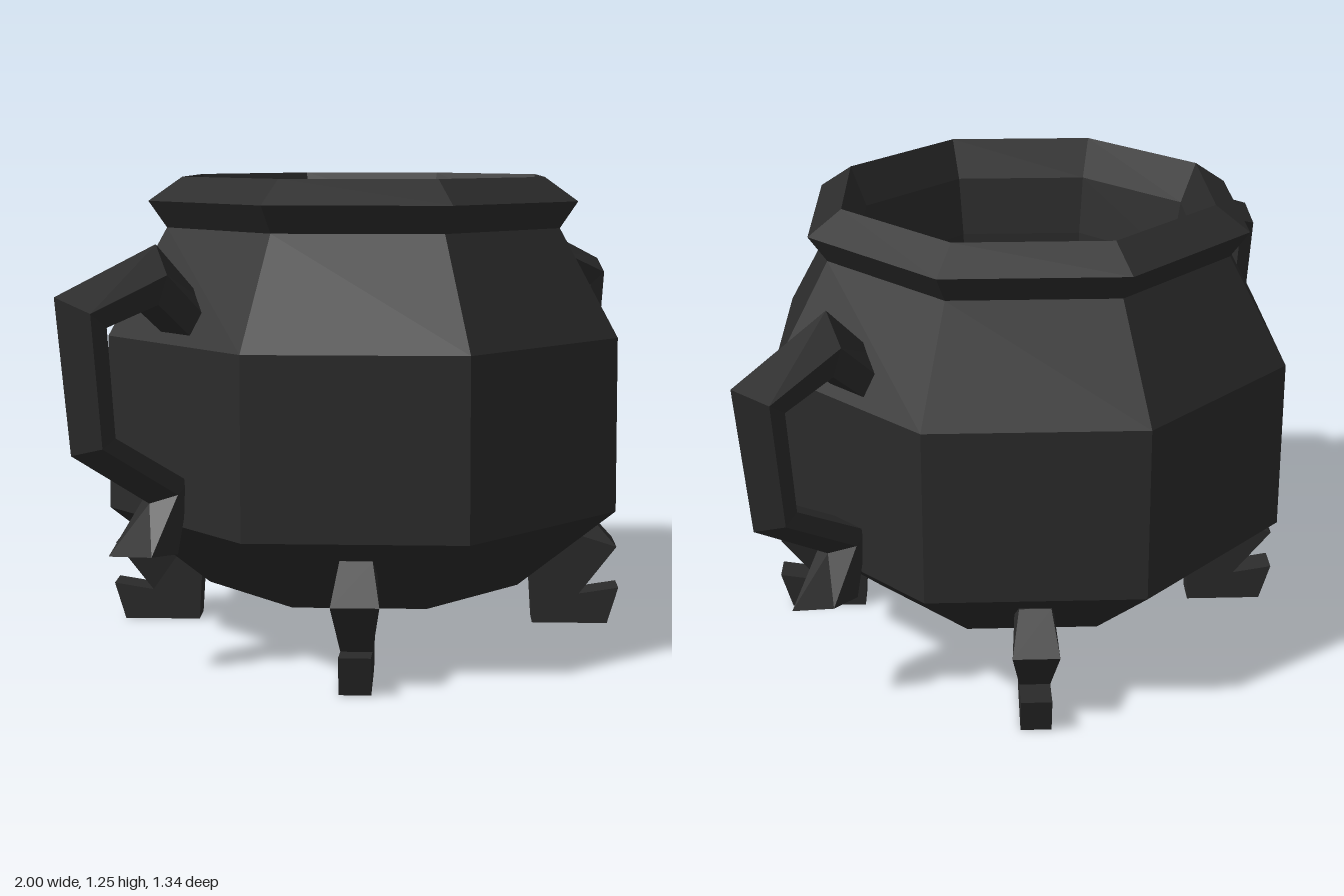
import * as THREE from 'three';

const iron = new THREE.MeshStandardMaterial({ color: 0x2b2b2b, flatShading: true, roughness: 0.9 });

// Eight-sided pot: outside from the base to the rim, then down the inside.
// Profile pairs are [distance to the flat side, height].
function makePot() {
  const profile = [
    [0, 0.145], [0.42, 0.145], [0.67, 0.375], [0.665, 0.835], [0.515, 1.115],
    [0.56, 1.185], [0.475, 1.247], [0.435, 1.14], [0.41, 0.98], [0.37, 0.3], [0, 0.3],
  ];
  const toCorner = 1 / Math.cos(Math.PI / 8);
  const points = profile.map(([d, y]) => new THREE.Vector2(d * toCorner, y));
  return new THREE.LatheGeometry(points, 8, Math.PI / 8);
}

// Handle: five-sided sections with an outer ridge, given as
// [ridge x, ridge y, inner x, inner y, half width].
function makeHandle() {
  const stations = [
    [0.55, 0.93, 0.58, 0.80, 0.07],
    [0.705, 1.088, 0.745, 0.945, 0.073],
    [1.0, 0.975, 0.895, 0.9, 0.072],
    [0.965, 0.59, 0.875, 0.63, 0.068],
    [0.74, 0.44, 0.65, 0.49, 0.06],
    [0.865, 0.325, 0.69, 0.31, 0.058],
  ];
  const position = [];
  const index = [];
  for (const [ox, oy, ix, iy, w] of stations) {
    const sx = ox + (ix - ox) * 0.5, sy = oy + (iy - oy) * 0.5;
    position.push(ox, oy, 0, sx, sy, w, ix, iy, w * 0.85, ix, iy, -w * 0.85, sx, sy, -w);
  }
  for (let i = 0; i < stations.length - 1; i++) {
    for (let j = 0; j < 5; j++) {
      const a = i * 5 + j, b = i * 5 + (j + 1) % 5;
      index.push(a, b, a + 5, b, b + 5, a + 5);
    }
  }
  // Flat cap on the flared lower tip
  const last = (stations.length - 1) * 5;
  for (let j = 1; j < 4; j++) index.push(last, last + j, last + j + 1);
  const geometry = new THREE.BufferGeometry();
  geometry.setAttribute('position', new THREE.Float32BufferAttribute(position, 3));
  geometry.setIndex(index);
  geometry.computeVertexNormals();
  return geometry;
}

// Leg: a knee-and-foot outline, widest at the knee.
function makeLeg() {
  const outline = [
    [0.45, 0.3], [0.47, 0], [0.68, 0], [0.71, 0.103],
    [0.6, 0.085], [0.70, 0.225], [0.615, 0.32],
  ];
  const shape = new THREE.Shape(outline.map(([x, y]) => new THREE.Vector2(x, y)));
  const geometry = new THREE.ExtrudeGeometry(shape, { depth: 2, bevelEnabled: false });
  geometry.translate(0, 0, -1);
  const p = geometry.attributes.position;
  for (let i = 0; i < p.count; i++) {
    const knee = Math.max(0, 1 - Math.abs(p.getY(i) - 0.225) / 0.1);
    p.setZ(i, p.getZ(i) * (0.04 + 0.02 * knee));
  }
  geometry.computeVertexNormals();
  return geometry;
}

export function createModel() {
  const model = new THREE.Group();
  model.name = 'cauldron';
  const add = (name, geometry, turn = 0) => {
    const mesh = new THREE.Mesh(geometry, iron);
    mesh.name = name;
    mesh.rotation.y = turn;
    model.add(mesh);
  };

  add('pot', makePot());

  const handle = makeHandle();
  add('leftHandle', handle);
  add('rightHandle', handle, Math.PI);

  const leg = makeLeg();
  ['backLeftLeg', 'backRightLeg', 'frontRightLeg', 'frontLeftLeg'].forEach((name, i) => {
    add(name, leg, Math.PI / 4 + i * Math.PI / 2);
  });
  return model;
}
